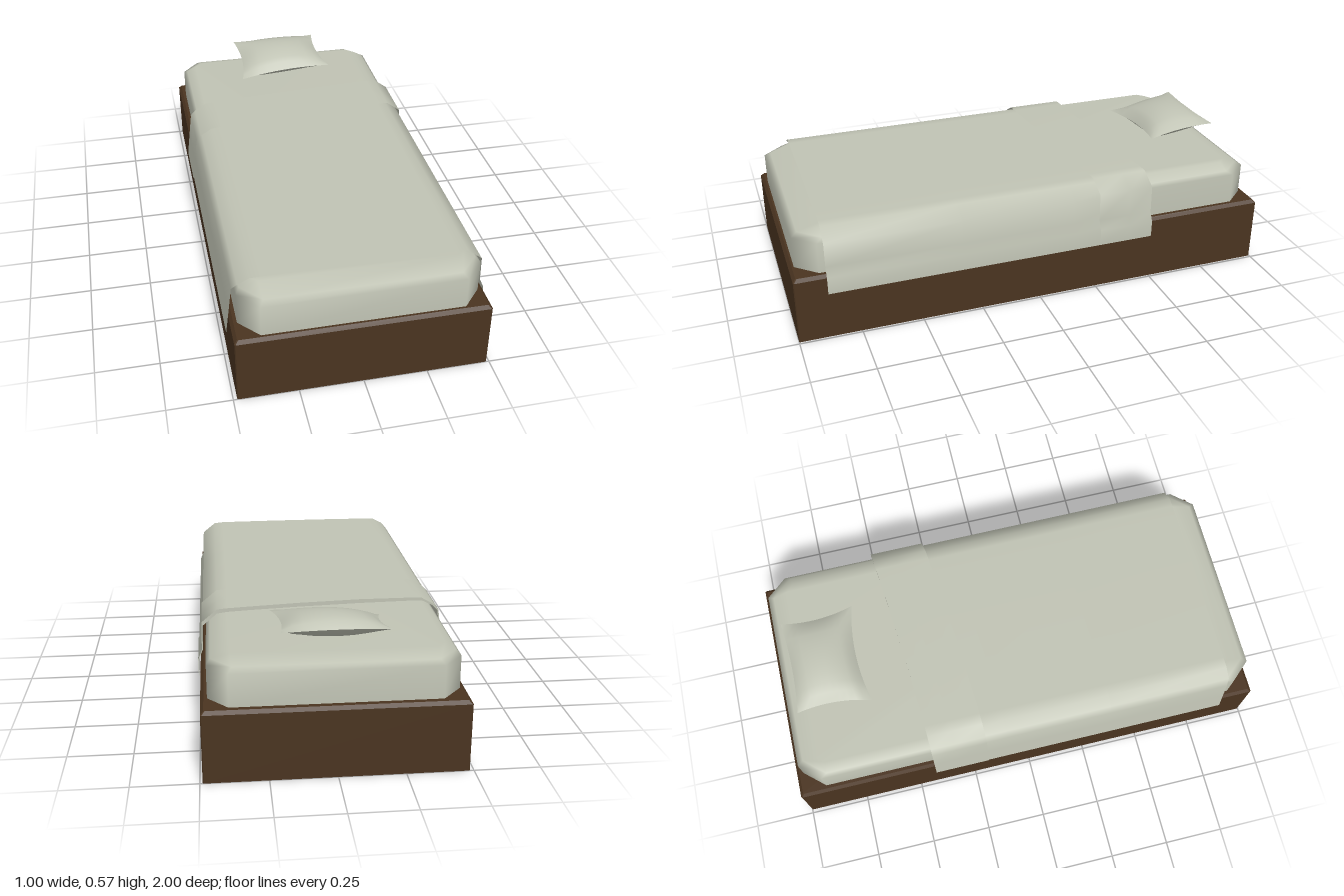
import * as THREE from 'three';

const wood = new THREE.MeshStandardMaterial({ color: 0x4a3420, side: THREE.DoubleSide });
wood.name = 'dark wood';
const linen = new THREE.MeshStandardMaterial({ color: 0xc0c3b4, side: THREE.DoubleSide });
linen.name = 'pale linen';

function buildGeometry(points, index) {
  const g = new THREE.BufferGeometry();
  g.setAttribute('position', new THREE.Float32BufferAttribute(points.flat(), 3));
  g.setIndex(index);
  g.computeVertexNormals();
  return g;
}

// Surface over rows of points; front side is (next row) x (next column)
function grid(rows, flip = false) {
  const n = rows[0].length, index = [];
  for (let r = 0; r < rows.length - 1; r++) {
    for (let i = 0; i < n - 1; i++) {
      const a = r * n + i, b = a + n, c = b + 1, d = a + 1;
      if (flip) index.push(a, c, b, a, d, c);
      else index.push(a, b, c, a, c, d);
    }
  }
  return buildGeometry(rows.flat(), index);
}

// Stacked outlines closed with a flat lid, open underneath
function openBox(loops) {
  const n = loops[0].length, index = [], top = (loops.length - 1) * n;
  for (let k = 0; k < loops.length - 1; k++) {
    for (let i = 0; i < n; i++) {
      const j = (i + 1) % n, a = k * n + i, b = k * n + j;
      index.push(a, b, b + n, a, b + n, a + n);
    }
  }
  for (let i = 1; i < n - 1; i++) index.push(top, top + i, top + i + 1);
  return buildGeometry(loops.flat(), index);
}

// Rectangle outline with cut corners, counter-clockwise from above
function outline(x0, x1, z0, z1, cutX, cutZ, y) {
  return [
    [x1 - cutX, y, z1], [x1, y, z1 - cutZ], [x1, y, z0 + cutZ], [x1 - cutX, y, z0],
    [x0 + cutX, y, z0], [x0, y, z0 + cutZ], [x0, y, z1 - cutZ], [x0 + cutX, y, z1],
  ];
}

// Slanted head-side edge of the blanket
const headEdge = (x) => -0.42 - 0.075 * Math.pow(Math.max(0, (x + 0.5)), 1.5);

export function createModel() {
  const bed = new THREE.Group();
  bed.name = 'bed';
  const add = (name, geometry, material) => {
    const mesh = new THREE.Mesh(geometry, material);
    mesh.name = name;
    bed.add(mesh);
  };

  // Hollow bed base with a slim bevel round the top
  const base = openBox([
    outline(-0.485, 0.49, -1, 1, 0.004, 0.004, 0),
    outline(-0.485, 0.49, -1, 1, 0.004, 0.004, 0.267),
    outline(-0.473, 0.478, -0.988, 0.988, 0.004, 0.004, 0.28),
  ]).toNonIndexed();
  base.computeVertexNormals();
  add('bedBase', base, wood);

  // Mattress with cut corners and softened top edges
  add('mattress', openBox([
    outline(-0.46, 0.465, -0.97, 0.98, 0.075, 0.085, 0.281),
    outline(-0.46, 0.465, -0.97, 0.98, 0.075, 0.085, 0.41),
    outline(-0.445, 0.45, -0.945, 0.955, 0.075, 0.085, 0.425),
    outline(-0.405, 0.41, -0.88, 0.88, 0.03, 0.03, 0.45),
  ]), linen);

  // Blanket draped over both sides
  const drape = [
    [-0.498, 0.21], [-0.485, 0.31], [-0.472, 0.415], [-0.45, 0.438], [-0.405, 0.461],
    [-0.36, 0.462], [-0.15, 0.463], [0.1, 0.463], [0.3, 0.462], [0.38, 0.461], [0.42, 0.457],
    [0.478, 0.41], [0.48, 0.31], [0.497, 0.27], [0.498, 0.2],
  ];
  const rows = [0, 0.25, 0.6, 1].map((t) => drape.map(([x, y]) => {
    const z0 = headEdge(x), z1 = x < -0.47 ? 0.862 : 0.872;
    return [x, y, z0 + (z1 - z0) * t];
  }));
  add('blanket', grid(rows), linen);

  // Turned-back band on top of the blanket
  const band = [
    [-0.502, 0.218], [-0.489, 0.32], [-0.476, 0.42], [-0.455, 0.443], [-0.405, 0.472],
    [-0.36, 0.475], [-0.15, 0.479], [0.1, 0.479], [0.3, 0.477], [0.38, 0.476], [0.42, 0.474],
    [0.482, 0.425], [0.484, 0.31], [0.5, 0.27], [0.5, 0.205],
  ];
  add('foldedBand', grid([0, 0.1, 0.233].map((dz) =>
    band.map(([x, y]) => [x, y, headEdge(x) + dz]))), linen);
  // Fold closing the gap between the two layers at the head side
  add('bandFold', grid([
    drape.map(([x, y]) => [x, y, headEdge(x)]),
    band.map(([x, y]) => [x, y, headEdge(x)]),
  ]), linen);

  // Pillow: two bulging sheets with pinched sides and uneven corners
  const corners = [[-0.2, 0.535, -0.915], [0.2, 0.535, -0.92], [-0.2, 0.48, -0.612], [0.222, 0.512, -0.615]];
  const steps = 10;
  for (const side of [1, -1]) {
    const sheet = [];
    for (let r = 0; r <= steps; r++) {
      const v = (r / steps) * 2 - 1, row = [];
      for (let c = 0; c <= steps; c++) {
        const u = (c / steps) * 2 - 1, s = (u + 1) / 2, t = (v + 1) / 2;
        const weights = [(1 - s) * (1 - t), s * (1 - t), (1 - s) * t, s * t];
        const [x, y, z] = [0, 1, 2].map((k) => weights.reduce((sum, w, i) => sum + w * corners[i][k], 0));
        const bulge = 0.05 * Math.pow((1 - u * u) * (1 - v * v), 0.6);
        const pinchX = -0.02 * u * (1 - v * v);
        const pinchZ = -(v > 0 ? 0.027 : 0.012) * v * (1 - u * u);
        row.push([x + pinchX, Math.max(y + side * bulge, 0.455), z + pinchZ]);
      }
      sheet.push(row);
    }
    add(side > 0 ? 'pillowTop' : 'pillowUnderside', grid(sheet, side < 0), linen);
  }
  return bed;
}
